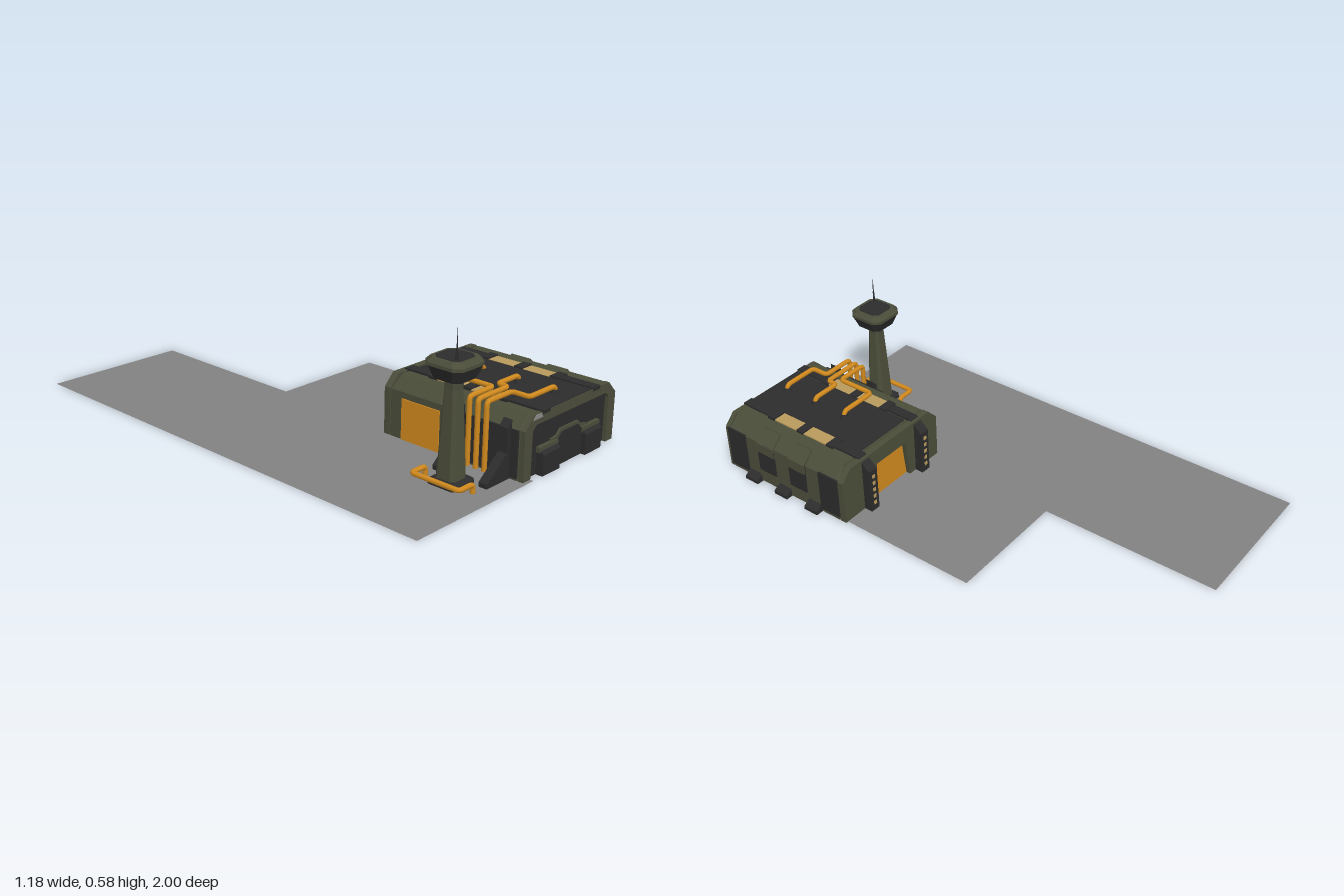
import * as THREE from 'three';

const mat = (name, color, side = THREE.FrontSide) =>
  Object.assign(new THREE.MeshStandardMaterial({ color, side }), { name });

export function createModel() {
  const root = new THREE.Group();
  const green = mat('olive green', 0x4b4d3a, THREE.DoubleSide);
  const dark = mat('charcoal', 0x2c2c2d);
  const orange = mat('orange', 0xd18a1e);
  const tan = mat('tan', 0xb99a5c);
  const pale = mat('light grey', 0x8a8a8c);
  const concrete = mat('concrete grey', 0x828282, THREE.DoubleSide);

  const add = (name, geo, material) => {
    const m = new THREE.Mesh(geo, material);
    m.name = name;
    root.add(m);
    return m;
  };
  // Box given by its limits
  const box = (name, m, x0, x1, y0, y1, z0, z1) =>
    add(name, new THREE.BoxGeometry(x1 - x0, y1 - y0, z1 - z0)
      .translate((x0 + x1) / 2, (y0 + y1) / 2, (z0 + z1) / 2), m);
  const outline = pts => new THREE.Shape(pts.map(p => new THREE.Vector2(...p)));
  // (x, y) outline extruded from z0 to z1
  const prismZ = (name, m, pts, z0, z1) =>
    add(name, new THREE.ExtrudeGeometry(outline(pts), { depth: z1 - z0, bevelEnabled: false })
      .translate(0, 0, z0), m);
  // (z, y) outline extruded from x0 to x1
  const prismX = (name, m, pts, x0, x1) =>
    add(name, new THREE.ExtrudeGeometry(outline(pts), { depth: x1 - x0, bevelEnabled: false })
      .rotateY(-Math.PI / 2).translate(x1, 0, 0), m);
  // Stacked rectangles with cut corners: [y, x0, x1, z0, z1, cut]; open below
  const loft = (name, m, levels, cap = true) => {
    const rings = levels.map(([y, x0, x1, z0, z1, c]) => [
      [x1 - c, z1], [x1, z1 - c], [x1, z0 + c], [x1 - c, z0],
      [x0 + c, z0], [x0, z0 + c], [x0, z1 - c], [x0 + c, z1]].map(([x, z]) => [x, y, z]));
    const v = [];
    for (let k = 0; k + 1 < rings.length; k++) for (let i = 0; i < 8; i++) {
      const j = (i + 1) % 8, a = rings[k][i], b = rings[k][j], c = rings[k + 1][j], d = rings[k + 1][i];
      v.push(...a, ...b, ...c, ...a, ...c, ...d);
    }
    const top = rings[rings.length - 1];
    if (cap) for (let i = 1; i < 7; i++) v.push(...top[0], ...top[i], ...top[i + 1]);
    const g = new THREE.BufferGeometry();
    g.setAttribute('position', new THREE.Float32BufferAttribute(v, 3));
    g.computeVertexNormals();
    return add(name, g, m);
  };
  // Pipe with rounded bends through the given points
  const pipe = (name, pts, r) => {
    const p = pts.map(q => new THREE.Vector3(...q)), path = new THREE.CurvePath();
    let last = p[0];
    for (let i = 1; i < p.length - 1; i++) {
      const a = p[i].clone().add(p[i - 1].clone().sub(p[i]).setLength(0.016));
      const b = p[i].clone().add(p[i + 1].clone().sub(p[i]).setLength(0.016));
      path.add(new THREE.LineCurve3(last, a));
      path.add(new THREE.QuadraticBezierCurve3(a, p[i], b));
      last = b;
    }
    path.add(new THREE.LineCurve3(last, p[p.length - 1]));
    add(name, new THREE.TubeGeometry(path, 90, r, 8, false), orange);
  };

  // L-shaped landing pad
  const pad = outline([[-0.59, -1], [0.03, -1], [0.03, -0.38], [0.543, -0.38], [0.543, 0.245], [0.03, 0.245], [0.03, 1], [-0.59, 1]]);
  add('pad', new THREE.ShapeGeometry(pad).rotateX(-Math.PI / 2).translate(0, 0.001, 0), concrete);

  // Hangar shell, open underneath
  loft('hangarShell', green, [
    [0, -0.012, 0.553, 0.37, 0.965, 0.006],
    [0.19, -0.012, 0.553, 0.37, 0.965, 0.006],
    [0.236, 0.04, 0.505, 0.38, 0.965, 0.006]]);

  // Front and back frames around their openings
  const arch = [[0.553, 0], [0.553, 0.19], [0.505, 0.238], [0.035, 0.238], [-0.012, 0.19], [-0.012, 0]];
  prismZ('frontFrame', green, [...arch, [0.032, 0], [0.032, 0.18], [0.052, 0.2], [0.489, 0.2], [0.509, 0.18], [0.509, 0]], 0.965, 0.985);
  prismZ('backFrame', green, [...arch, [0.165, 0], [0.185, 0.17], [0.355, 0.17], [0.375, 0]], 0.342, 0.37);
  prismZ('frontPanel', dark, [[0.032, 0], [0.509, 0], [0.509, 0.18], [0.489, 0.2], [0.052, 0.2], [0.032, 0.18]], 0.965, 0.97);
  prismZ('backDoor', orange, [[0.165, 0], [0.375, 0], [0.355, 0.17], [0.185, 0.17]], 0.362, 0.368);
  prismZ('cornerPlate', pale, [[0.03, 0.222], [0.085, 0.222], [0.075, 0.238], [0.045, 0.238]], 0.985, 0.988);

  // Front gate surround and its two blocks
  prismZ('gateTrim', green, [[0.16, 0], [0.38, 0], [0.38, 0.112], [0.345, 0.118], [0.325, 0.137], [0.215, 0.137], [0.195, 0.118], [0.16, 0.112]], 0.965, 0.978);
  prismZ('gate', dark, [[0.17, 0], [0.37, 0], [0.37, 0.1], [0.34, 0.106], [0.32, 0.125], [0.22, 0.125], [0.2, 0.106], [0.17, 0.1]], 0.965, 0.982);
  for (const x of [0.135, 0.4]) {
    prismX('gateBlock', dark, [[0.965, 0], [1, 0], [1, 0.08], [0.985, 0.092], [0.965, 0.092]], x - 0.052, x + 0.052);
    box('gateBlockTrim', green, x - 0.056, x + 0.056, 0.085, 0.106, 0.965, 0.986);
  }

  // Side wall panels, ribs and low buttresses on the left
  for (const z of [0.92, 0.42]) box('sidePanel', dark, 0.55, 0.557, 0.015, 0.195, z - 0.05, z + 0.05);
  for (const z of [0.755, 0.585]) {
    box('sideRib', dark, 0.55, 0.559, 0.06, 0.195, z - 0.045, z + 0.045);
    prismZ('ribTop', green, [[0.553, 0.15], [0.561, 0.15], [0.561, 0.193], [0.513, 0.24], [0.5, 0.236], [0.553, 0.19]], z - 0.045, z + 0.045);
    box('ribFoot', green, 0.55, 0.559, 0.005, 0.06, z - 0.045, z + 0.045);
  }
  for (const z of [0.5, 0.665, 0.83])
    prismZ('lowButtress', dark, [[0.54, 0], [0.587, 0], [0.587, 0.014], [0.56, 0.03], [0.54, 0.03]], z - 0.034, z + 0.034);

  // Right wall: door, panel and sloping buttresses
  box('sideDoor', orange, -0.017, -0.009, 0.002, 0.165, 0.43, 0.61);
  box('pipePanel', dark, -0.019, -0.011, 0.01, 0.19, 0.64, 0.96);
  for (const z of [0.705, 0.91])
    prismZ('slopedButtress', dark, [[-0.012, 0], [-0.012, 0.222], [-0.036, 0.195], [-0.036, 0.102], [-0.14, 0.018], [-0.14, 0]], z - 0.018, z + 0.018);

  // Roof deck, ribs, skylights and back pillars
  box('roofDeck', dark, 0.135, 0.395, 0.23, 0.24, 0.385, 0.982);
  for (const x of [0.107, 0.42]) {
    prismX('backPillar', dark, [[0.305, 0], [0.345, 0], [0.345, 0.18], [0.385, 0.225], [0.5, 0.225], [0.5, 0.244], [0.36, 0.244], [0.305, 0.195]], x - 0.022, x + 0.022);
    box('roofRib', dark, x - 0.022, x + 0.022, 0.23, 0.244, 0.82, 0.987);
    for (const z of [0.5, 0.66, 0.82]) box('skylightBar', dark, x - 0.032, x + 0.032, 0.23, 0.247, z - 0.018, z + 0.018);
    for (const z of [0.58, 0.74]) box('skylight', tan, x - 0.028, x + 0.028, 0.234, 0.241, z - 0.064, z + 0.064);
    for (let i = 0; i < 5; i++) box('pillarMark', tan, x - 0.007, x + 0.007, 0.03 + i * 0.032, 0.045 + i * 0.032, 0.302, 0.306);
  }

  // Roof pipes running down the right wall
  for (const [z, x, zEnd] of [[0.59, 0.103, 0.757], [0.75, 0.14, 0.795], [0.91, 0.11, 0.833]]) {
    pipe('roofPipe', [[0.27, 0.238, z], [0.262, 0.267, z], [x, 0.267, z], [x, 0.267, zEnd], [-0.032, 0.267, zEnd], [-0.032, 0.005, zEnd]], 0.01);
    add('pipeCollar', new THREE.CylinderGeometry(0.011, 0.02, 0.016, 8).translate(0.266, 0.247, z), dark);
  }

  // Watch tower
  const cx = -0.181, cz = 0.803;
  const tier = (y, r, c) => [y, cx - r, cx + r, cz - r, cz + r, c];
  loft('towerBase', dark, [tier(0, 0.062, 0.012), tier(0.015, 0.062, 0.012), tier(0.024, 0.05, 0.012)]);
  loft('towerShaft', green, [tier(0.02, 0.043, 0.014), tier(0.35, 0.027, 0.01), tier(0.375, 0.028, 0.01), tier(0.395, 0.045, 0.015)]);
  loft('towerHeadUnderside', dark, [tier(0.39, 0.03, 0.01), tier(0.391, 0.06, 0.022)], false);
  loft('towerCabin', dark, [tier(0.39, 0.061, 0.022), tier(0.438, 0.08, 0.028)]);
  loft('towerRim', green, [tier(0.438, 0.082, 0.028), tier(0.45, 0.082, 0.028), tier(0.465, 0.068, 0.024)]);
  loft('towerRoof', dark, [tier(0.464, 0.056, 0.02), tier(0.468, 0.054, 0.02)]);
  add('antennaFoot', new THREE.CylinderGeometry(0.003, 0.006, 0.05, 6).translate(-0.219, 0.49, 0.84), dark);
  add('antenna', new THREE.CylinderGeometry(0.0007, 0.0025, 0.07, 6).translate(-0.219, 0.546, 0.84), dark);

  // Ground pipe around the tower
  pipe('groundPipe', [[-0.195, 0, 0.7], [-0.195, 0.034, 0.7], [-0.27, 0.034, 0.7], [-0.27, 0.034, 0.91], [-0.195, 0.034, 0.91], [-0.195, 0, 0.91]], 0.01);
  return root;
}
